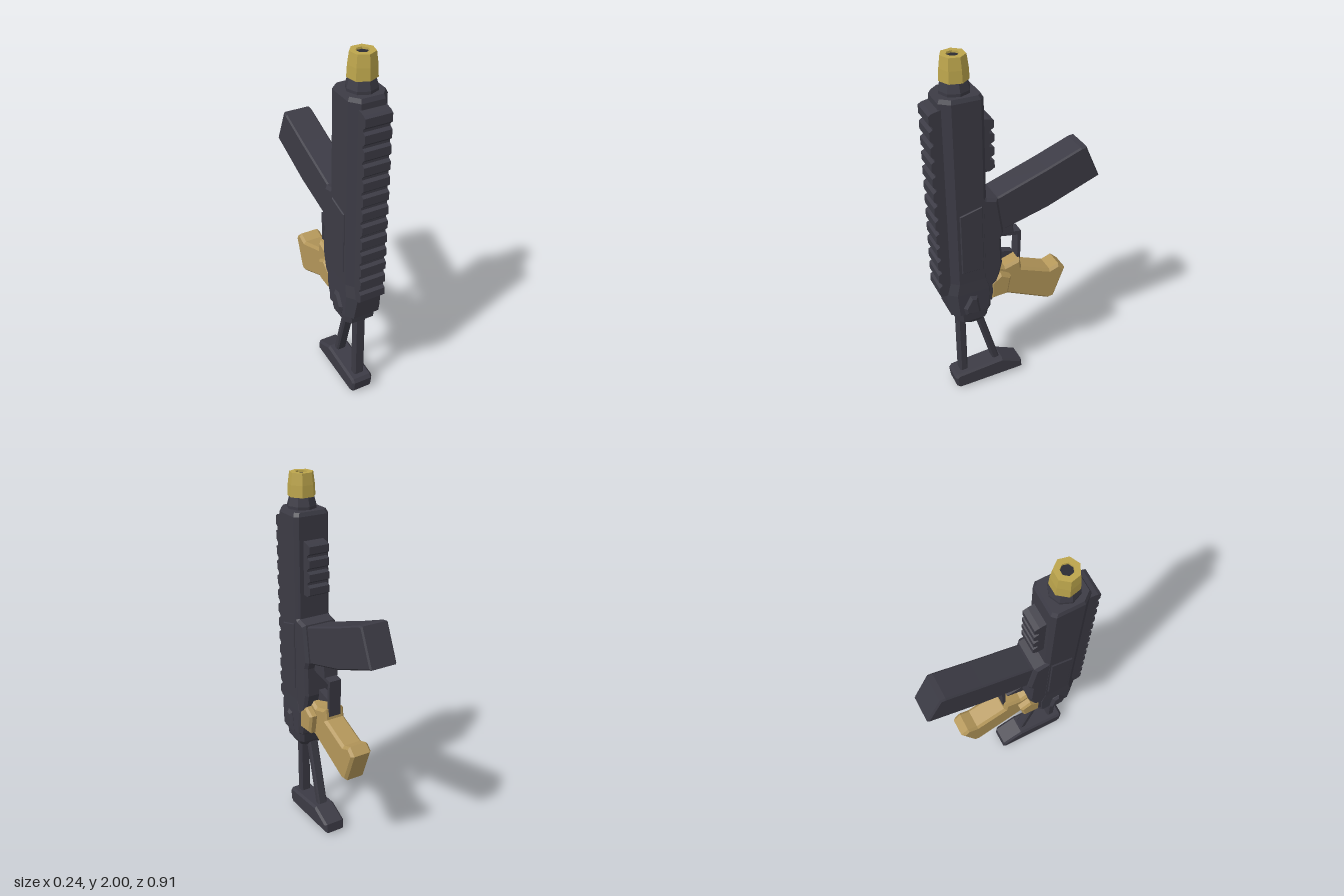
import * as THREE from 'three';

const dark = new THREE.MeshStandardMaterial({ color: 0x3c3b45 });
dark.name = 'charcoal';
const tan = new THREE.MeshStandardMaterial({ color: 0xb4975a });
tan.name = 'tan';
const brass = new THREE.MeshStandardMaterial({ color: 0xbca54c });
brass.name = 'brass';
const black = new THREE.MeshStandardMaterial({ color: 0x2b2b32 });
black.name = 'boreBlack';

export function createModel() {
  const model = new THREE.Group();

  const add = (name, geometry, material = dark) => {
    const flat = geometry.index ? geometry.toNonIndexed() : geometry;
    flat.computeVertexNormals();
    const mesh = new THREE.Mesh(flat, material);
    mesh.name = name;
    model.add(mesh);
    return mesh;
  };

  // Side outline given as [z, y], extruded across x with a chamfer kept inside the outline
  const side = (points, halfWidth, bevel = 0.012, x = 0) => {
    const shape = new THREE.Shape(points.map(([z, y]) => new THREE.Vector2(z, y)));
    const depth = 2 * (halfWidth - bevel);
    const g = new THREE.ExtrudeGeometry(shape, {
      depth, bevelEnabled: bevel > 0, bevelThickness: bevel,
      bevelSize: bevel, bevelOffset: -bevel, bevelSegments: 1,
    });
    return g.translate(0, 0, -depth / 2).rotateY(-Math.PI / 2).translate(x, 0, 0);
  };

  // Chamfered rectangular rings [y, halfWidth, zBack, zFront, backChamfer, frontChamfer], bottom to top
  const loft = (rings) => {
    const pos = [], idx = [];
    for (const [y, w, b, f, cb, cf] of rings) {
      for (const [x, z] of [[w, b + cb], [w, f - cf], [w - cf * 0.8, f], [-w + cf * 0.8, f],
        [-w, f - cf], [-w, b + cb], [-w + cb, b], [w - cb, b]]) pos.push(x, y, z);
    }
    const n = 8, top = (rings.length - 1) * n;
    for (let r = 0; r < rings.length - 1; r++) {
      for (let i = 0; i < n; i++) {
        const a = r * n + i, c = r * n + (i + 1) % n;
        idx.push(a, a + n, c, c, a + n, c + n);
      }
    }
    for (let i = 1; i < n - 1; i++) {
      idx.push(0, i, i + 1, top, top + i + 1, top + i);
    }
    const g = new THREE.BufferGeometry();
    g.setAttribute('position', new THREE.Float32BufferAttribute(pos, 3));
    g.setIndex(idx);
    return g;
  };

  // Toothed strip running along y; teeth point towards zOut
  const rail = (y0, y1, count, zIn, zLow, zOut, halfWidth) => {
    const step = (y1 - y0) / count;
    const pts = [[zIn, y1], [zIn, y0]];
    for (let i = 0; i < count; i++) {
      const y = y0 + i * step;
      pts.push([zLow, y], [zOut, y + step * 0.2], [zOut, y + step * 0.72], [zLow, y + step * 0.85]);
    }
    if (zOut < zIn) pts.reverse();
    return side(pts, halfWidth, 0);
  };

  // Main body, narrowing to the tail
  add('body', loft([
    [0.475, 0.065, 0.22, 0.31, 0.02, 0.02],
    [0.51, 0.088, 0.195, 0.365, 0.02, 0.03],
    [0.565, 0.092, 0.185, 0.37, 0.02, 0.03],
    [0.575, 0.105, 0.18, 0.4, 0.02, 0.04],
    [0.71, 0.103, 0.17, 0.42, 0.02, 0.05],
    [0.78, 0.101, 0.19, 0.405, 0.02, 0.05],
    [1.8, 0.101, 0.19, 0.405, 0.02, 0.05],
    [1.82, 0.092, 0.2, 0.395, 0.02, 0.045],
  ]));

  // Lower receiver with magazine well
  add('lowerReceiver', side([
    [0.24, 0.6], [0.17, 0.61], [0.125, 0.78], [0.11, 0.84], [0.115, 1.0],
    [0.1, 1.04], [0.13, 1.245], [0.19, 1.26], [0.24, 1.3],
  ], 0.1, 0.015));

  // Raised panels and knobs on both sides
  for (const s of [1, -1]) {
    add('sidePanel', side([[0.22, 0.85], [0.34, 0.85], [0.34, 1.2], [0.22, 1.23]], 0.006, 0.004, s * 0.102));
    add('sideKnob', side([[0.245, 0.57], [0.33, 0.575], [0.34, 0.62], [0.3, 0.69], [0.26, 0.68]],
      0.02, 0.014, s * 0.1));
  }

  // Toothed sight rail on the front and short rail on the back
  add('longRail', rail(0.71, 1.775, 13, 0.38, 0.438, 0.455, 0.07));
  add('shortRail', rail(1.39, 1.68, 4, 0.21, 0.155, 0.13, 0.058));

  // Magazine
  add('magazine', side([
    [0.16, 1.23], [0.12, 1.24], [-0.15, 1.335], [-0.34, 1.408], [-0.37, 1.412],
    [-0.455, 1.22], [-0.16, 1.105], [0.11, 1.03], [0.16, 1.03],
  ].reverse(), 0.077, 0.008));

  // Trigger guard and trigger
  add('guardBlock', side([[0.14, 1.05], [0.14, 0.98], [0.02, 0.975], [0.03, 1.065]], 0.045, 0.006));
  add('triggerGuard', side([
    [0.13, 0.995], [-0.025, 0.97], [-0.018, 0.76], [-0.002, 0.76], [-0.004, 0.95], [0.13, 0.975],
  ], 0.035, 0));
  add('trigger', side([[0.13, 0.87], [0.015, 0.84], [0.02, 0.832], [0.13, 0.795]], 0.02, 0));

  // Pistol grip
  add('grip', side([
    [0.18, 0.73], [0.12, 0.8], [0.08, 0.78], [-0.01, 0.805], [-0.02, 0.745], [-0.19, 0.675],
    [-0.245, 0.695], [-0.287, 0.655], [-0.22, 0.478], [-0.185, 0.473], [0.09, 0.605], [0.18, 0.615],
  ], 0.062, 0.014), tan);
  for (const s of [1, -1]) {
    add('gripCollar', side([[0.18, 0.625], [0.18, 0.73], [0.12, 0.775], [0.06, 0.74], [0.08, 0.63]],
      0.025, 0.012, s * 0.078), tan);
  }

  // Muzzle: neck, hollow tip and bore
  const turned = (pts, sides) => new THREE.LatheGeometry(
    pts.map(([r, y]) => new THREE.Vector2(r, y)), sides).translate(0, 0, 0.3);
  add('neck', turned([[0.076, 1.8], [0.078, 1.835], [0.064, 1.885], [0, 1.885]], 8));
  add('muzzleTip', turned([[0.073, 1.88], [0.07, 1.94], [0.062, 2], [0.032, 2], [0.028, 1.96]], 7), brass);
  add('bore', new THREE.CylinderGeometry(0.034, 0.034, 0.01, 7).translate(0, 1.985, 0.3), black);

  // Folding stock: two rods and the butt plate
  add('straightRod', side([[0.303, 0.08], [0.348, 0.08], [0.348, 0.52], [0.303, 0.52]], 0.03, 0.008));
  add('slantedRod', side([[0.1, 0.09], [0.14, 0.09], [0.25, 0.5], [0.21, 0.5]], 0.028, 0.008));
  add('buttPlate', side([
    [0.39, 0.08], [0.375, 0.1], [0.1, 0.122], [-0.02, 0.065], [-0.025, 0.01], [0.36, 0], [0.382, 0.02],
  ], 0.062, 0.012));

  return model;
}
